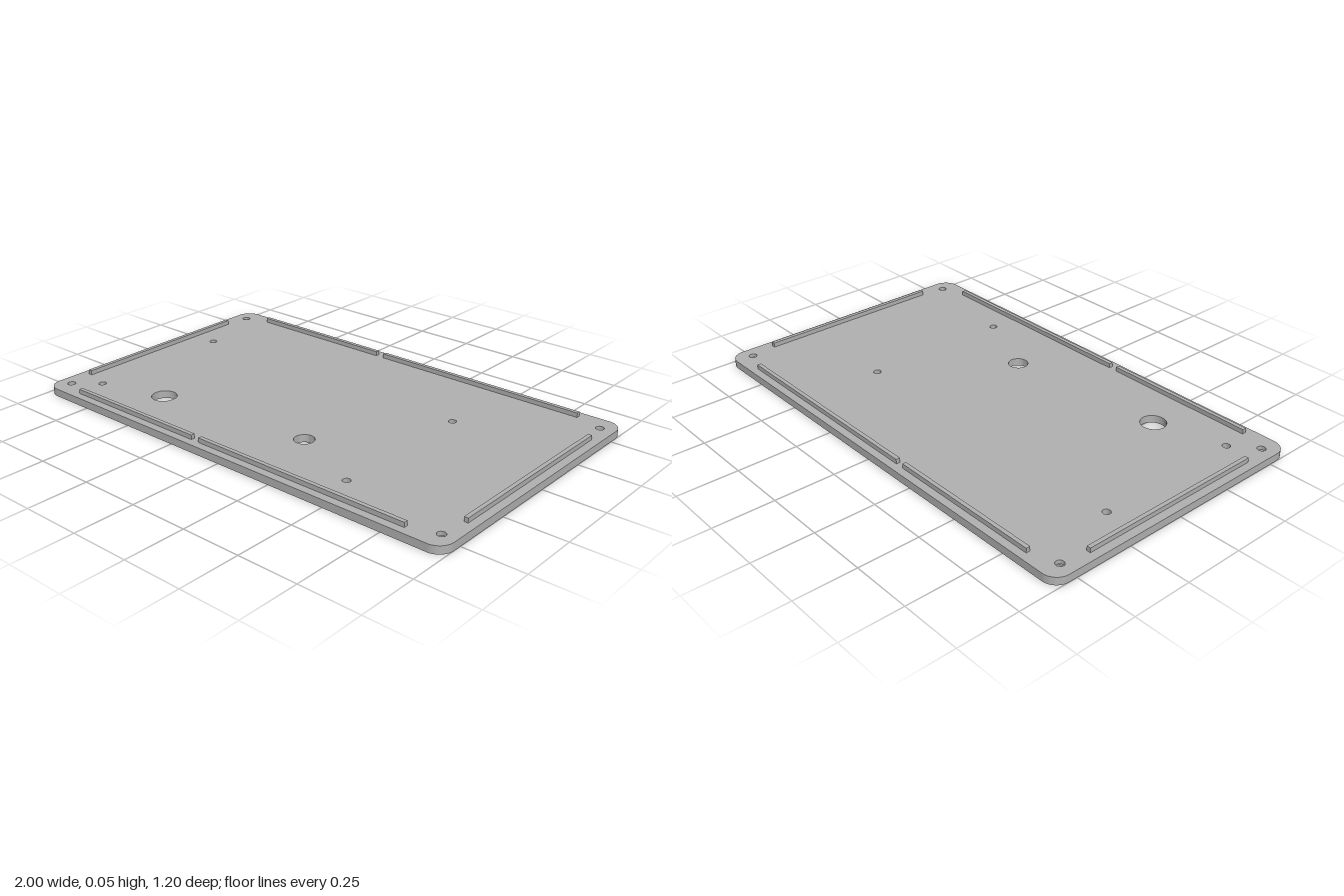
import * as THREE from 'three';
import { toCreasedNormals } from 'three/addons/utils/BufferGeometryUtils.js';

const W = 1, D = 0.598, T = 0.032, RAIL_TOP = 0.051, CORNER = 0.062;

// Holes: [x, z, radius at top, radius at bottom]
const holes = [[-0.55, 0.357, 0.052, 0.052], [0.148, 0.288, 0.041, 0.041]];
for (const x of [-0.94, 0.94]) for (const z of [-0.52, 0.52]) holes.push([x, z, 0.017, 0.031]);
for (const x of [-0.842, 0.477]) for (const z of [-0.204, 0.437]) holes.push([x, z, 0.016, 0.016]);

// Rounded rectangle, counter-clockwise
function outline() {
  const s = new THREE.Shape();
  const x = W - CORNER, y = D - CORNER;
  s.absarc(x, y, CORNER, 0, Math.PI / 2);
  s.absarc(-x, y, CORNER, Math.PI / 2, Math.PI);
  s.absarc(-x, -y, CORNER, Math.PI, Math.PI * 1.5);
  s.absarc(x, -y, CORNER, Math.PI * 1.5, Math.PI * 2);
  s.closePath();
  return s;
}

// Flat face with its holes; up = 1 for the top, -1 for the underside
function face(up) {
  const s = outline();
  for (const [x, z, top, bottom] of holes) {
    const h = new THREE.Path();
    h.absarc(x, -up * z, up > 0 ? top : bottom, 0, Math.PI * 2, true);
    s.holes.push(h);
  }
  const g = new THREE.ShapeGeometry(s, 16);
  g.rotateX(-up * Math.PI / 2);
  return g.translate(0, up > 0 ? T : 0, 0);
}

// Outer edge of the plate
function edge() {
  const pts = outline().getPoints(12);
  const pos = [];
  pts.forEach((a, i) => {
    const b = pts[(i + 1) % pts.length];
    if (a.distanceTo(b) < 1e-6) return;
    pos.push(a.x, 0, -a.y, b.x, 0, -b.y, b.x, T, -b.y);
    pos.push(a.x, 0, -a.y, b.x, T, -b.y, a.x, T, -a.y);
  });
  const g = new THREE.BufferGeometry();
  g.setAttribute('position', new THREE.Float32BufferAttribute(pos, 3));
  g.computeVertexNormals();
  return toCreasedNormals(g, 0.6);
}

// Inner wall of a hole, stepped where the screw head is recessed
function bore(top, bottom) {
  const p = [[top, T]];
  if (bottom > top) p.push([top, T / 2], [bottom, T / 2]);
  p.push([bottom, 0]);
  return toCreasedNormals(new THREE.LatheGeometry(p.map(([r, y]) => new THREE.Vector2(r, y)), 32), 0.6);
}

export function createModel() {
  const model = new THREE.Group();
  model.name = 'coverPlate';
  const grey = new THREE.MeshStandardMaterial({ color: 0xb2b2b2 });
  grey.name = 'grey';

  const add = (name, geometry, x = 0, y = 0, z = 0) => {
    const m = new THREE.Mesh(geometry, grey);
    m.name = name;
    m.position.set(x, y, z);
    model.add(m);
  };

  // Plate
  add('plateTop', face(1));
  add('plateUnderside', face(-1));
  add('plateEdge', edge());
  for (const [x, z, top, bottom] of holes) add('holeWall', bore(top, bottom), x, 0, z);

  // Locating rails along all four sides
  const h = RAIL_TOP - T, y = T + h / 2;
  for (const s of [-1, 1]) {
    for (const [x0, x1] of [[-0.83, -0.17], [-0.133, 0.825]]) {
      add('longRail', new THREE.BoxGeometry(x1 - x0, h, 0.017), (x0 + x1) / 2, y, s * 0.557);
    }
    add('sideRail', new THREE.BoxGeometry(0.017, h, 0.816), s * 0.957, y, 0);
  }
  return model;
}
